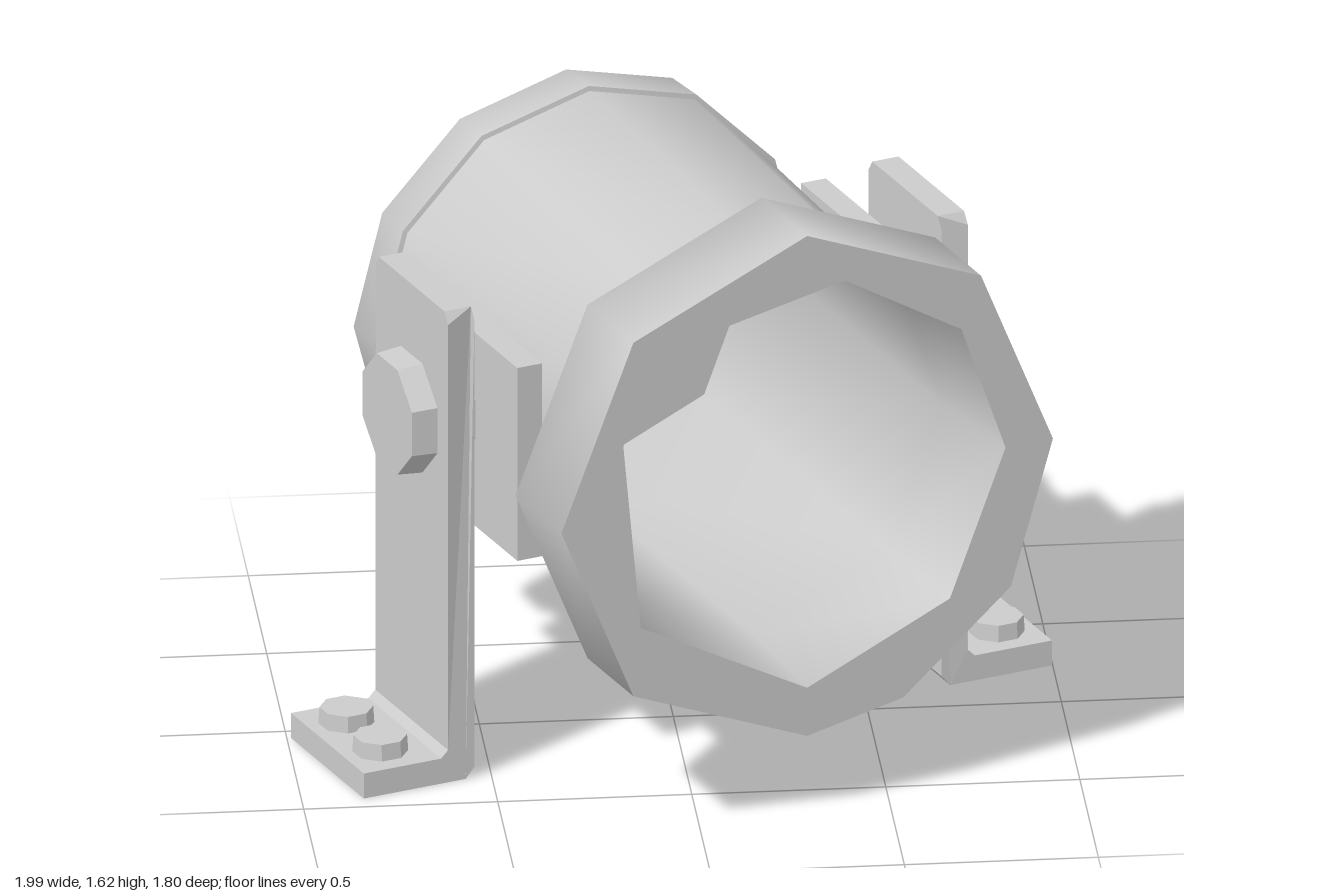
import * as THREE from 'three';
import { toCreasedNormals } from 'three/addons/utils/BufferGeometryUtils.js';

const material = new THREE.MeshStandardMaterial({ color: 0xcccccc });
const openMaterial = new THREE.MeshStandardMaterial({ color: 0xcccccc, side: THREE.DoubleSide });
const rad = THREE.MathUtils.degToRad;

// Unevenly spaced corner angles of the hood and its bore, and the even ones of the body
const hoodAngles = [0, 45, 90, 135, 180, 225, 270, 293, 326];
const boreAngles = [0, 39, 79, 123, 158, 213, 270, 316];
const bodyAngles = Array.from({ length: 12 }, (_, i) => i * 30);

function addMesh(parent, name, geometry, mat = material) {
  const mesh = new THREE.Mesh(geometry, mat);
  mesh.name = name;
  parent.add(mesh);
  return mesh;
}

// Lathe around the z axis with its corners at the given angles; profile is [radius, z]
function turned(profile, angles, crease) {
  const geo = new THREE.LatheGeometry(profile.map(([r, z]) => new THREE.Vector2(r, z)), angles.length);
  const pos = geo.attributes.position;
  for (let k = 0; k < pos.count; k++) {
    const a = rad(angles[Math.floor(k / profile.length) % angles.length]);
    const [r, z] = profile[k % profile.length];
    pos.setXYZ(k, r * Math.cos(a), r * Math.sin(a), z);
  }
  geo.deleteAttribute('uv');
  return toCreasedNormals(geo, crease);
}

const polygon = (r, angles) =>
  angles.map((a) => new THREE.Vector2(r * Math.cos(rad(a)), r * Math.sin(rad(a))));

// Eight-sided bolt head standing on y = 0
function boltHead(radius, height) {
  const geo = new THREE.CylinderGeometry(radius * 0.96, radius, height, 8);
  geo.rotateY(Math.PI / 8).translate(0, height / 2, 0);
  return toCreasedNormals(geo, 0.5);
}

function createBarrel() {
  const barrel = new THREE.Group();
  barrel.name = 'barrel';

  addMesh(barrel, 'body', turned([[0.6, -0.6], [0.565, 0.43]], bodyAngles, 1), openMaterial);
  addMesh(barrel, 'rearCap', turned(
    [[0, -0.745], [0.57, -0.74], [0.605, -0.71], [0.612, -0.575], [0.59, -0.57]], bodyAngles, 1.2));

  // Hood around the mouth, with a flat rim and a deep bore
  addMesh(barrel, 'hood', turned([[0.54, 0.39], [0.7, 0.443], [0.7, 0.714]], hoodAngles, 1.35));
  const rim = new THREE.Shape(polygon(0.7, hoodAngles));
  rim.holes.push(new THREE.Path(polygon(0.565, boreAngles)));
  addMesh(barrel, 'rim', new THREE.ShapeGeometry(rim).translate(0, 0, 0.714));
  addMesh(barrel, 'bore', turned(
    [[0.565, 0.714], [0.54, 0.4], [0.54, -0.7], [0, -0.7]], boreAngles, 1.1), openMaterial);
  return barrel;
}

function createBracket(name) {
  const bracket = new THREE.Group();
  bracket.name = name;
  const width = 0.43;

  // Bent plate: upright and foot in one, with cut top corners
  const profile = new THREE.Shape([
    [0.69, 0], [0.98, 0], [0.98, 0.07], [0.76, 0.07], [0.74, 0.09], [0.74, 1.28],
    [0.74, 1.31], [0.665, 1.31], [0.665, 1.28], [0.665, 0.03],
  ].map(([x, y]) => new THREE.Vector2(x, y)));
  const plate = new THREE.ExtrudeGeometry(profile, { depth: width, bevelEnabled: false });
  plate.translate(0, 0, -width / 2);
  const pos = plate.attributes.position;
  for (let i = 0; i < pos.count; i++) {
    if (pos.getY(i) > 1.3) pos.setZ(i, pos.getZ(i) * 0.9);
  }
  plate.computeVertexNormals();
  addMesh(bracket, 'plate', plate);

  // Pad against the body, spacer and pivot bolt
  addMesh(bracket, 'pad', new THREE.BoxGeometry(0.07, 0.54, 0.75)).position.set(0.585, 0.93, 0);
  const spacer = addMesh(bracket, 'spacer', boltHead(0.14, 0.08));
  spacer.rotation.z = -Math.PI / 2;
  spacer.position.set(0.6, 0.96, 0);
  const pivot = addMesh(bracket, 'pivotBolt', boltHead(0.165, 0.07));
  pivot.rotation.z = -Math.PI / 2;
  pivot.position.set(0.74, 0.96, 0);

  // Foot bolts
  for (const z of [-0.1, 0.1]) {
    addMesh(bracket, 'footBolt', boltHead(0.072, 0.045)).position.set(0.878, 0.07, z);
  }
  return bracket;
}

export function createModel() {
  const model = new THREE.Group();
  model.name = 'lamp';
  model.rotation.y = rad(20.3);

  const barrel = createBarrel();
  barrel.position.set(0.037, 0.92, 0);
  model.add(barrel);

  // A bracket on each side, one turned half round
  ['leftBracket', 'rightBracket'].forEach((name, i) => {
    const bracket = createBracket(name);
    bracket.position.set(0.037, 0, -0.087);
    bracket.rotation.y = i * Math.PI;
    model.add(bracket);
  });

  const root = new THREE.Group();
  root.name = 'model';
  root.add(model);
  return root;
}
